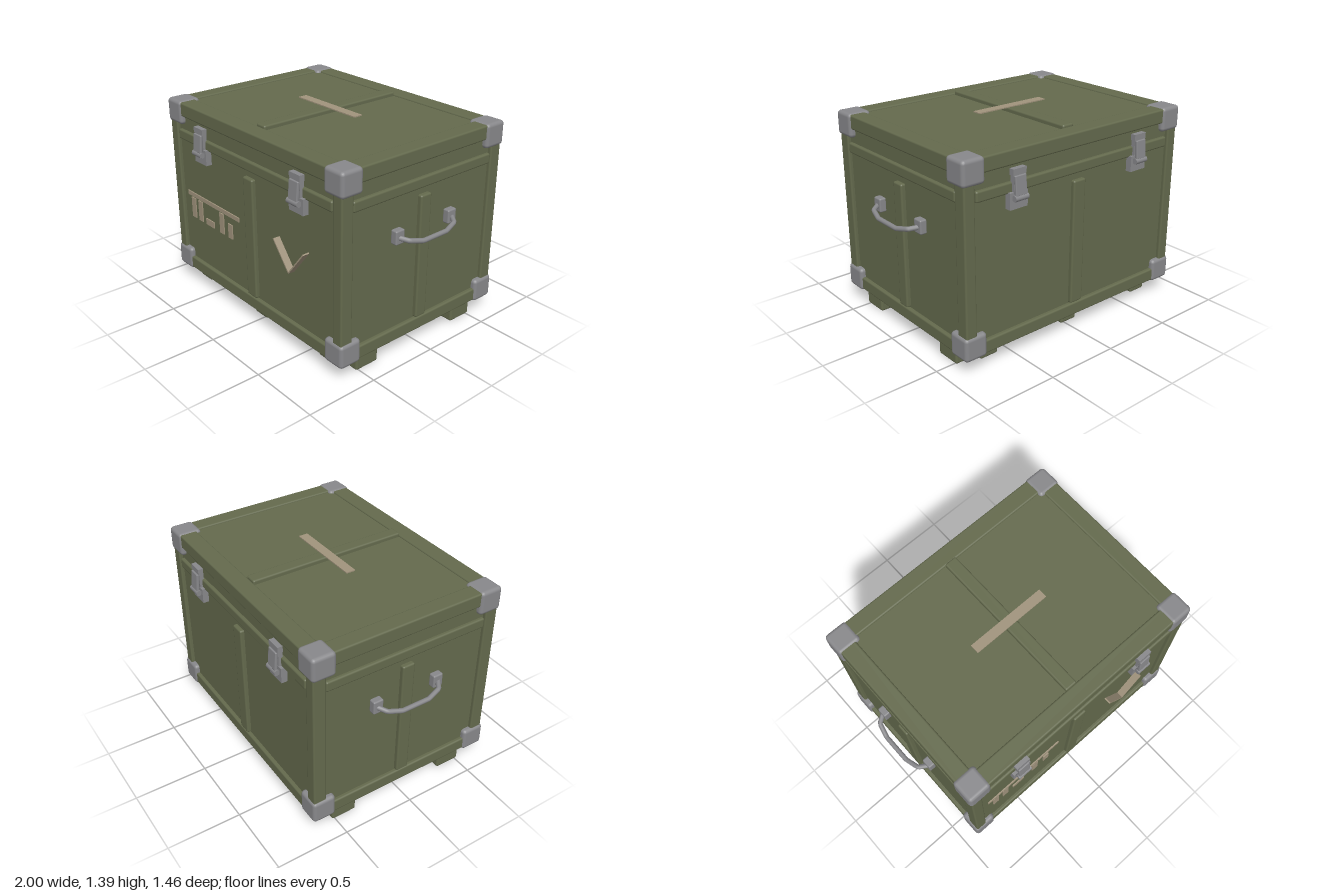
import * as THREE from 'three';
import { RoundedBoxGeometry } from 'three/addons/geometries/RoundedBoxGeometry.js';

const mat = (name, color) => {
  const m = new THREE.MeshStandardMaterial({ color });
  m.name = name;
  return m;
};

export function createModel() {
  const olive = mat('olive paint', 0x646a4d);
  const steel = mat('grey steel', 0x88888b);
  const tan = mat('tan marking', 0xa0937c);
  const model = new THREE.Group();
  model.name = 'storageCrate';

  const add = (parent, name, geo, m) => {
    const mesh = new THREE.Mesh(geo, m);
    mesh.name = name;
    parent.add(mesh);
    return mesh;
  };
  // box given by its extents; r > 0 bevels the edges
  const box = (parent, name, m, [x0, x1], [y0, y1], [z0, z1], r = 0) => {
    const s = [x1 - x0, y1 - y0, z1 - z0];
    const geo = r ? new RoundedBoxGeometry(...s, 2, r) : new THREE.BoxGeometry(...s);
    const mesh = add(parent, name, geo, m);
    mesh.position.set((x0 + x1) / 2, (y0 + y1) / 2, (z0 + z1) / 2);
    return mesh;
  };
  const span = (s, a, b) => (s > 0 ? [a, b] : [-b, -a]);

  // inner panels
  box(model, 'body', olive, [-0.87, 0.87], [0.115, 1.355], [-0.65, 0.65]);

  // frame: posts, rails and lid bands
  for (const s of [1, -1]) {
    for (const t of [1, -1])
      box(model, 'cornerPost', olive, span(s, 0.815, 0.895), [0.115, 1.365], span(t, 0.585, 0.675), 0.012);
    for (const [y0, y1] of [[0.11, 0.2], [1.27, 1.367]]) {
      box(model, 'longRail', olive, [-0.89, 0.89], [y0, y1], span(s, 0.555, 0.675), 0.012);
      box(model, 'sideRail', olive, span(s, 0.78, 0.895), [y0, y1], [-0.67, 0.67], 0.012);
    }
    box(model, 'longLidBand', olive, [-0.805, 0.805], [1.1, 1.17], span(s, 0.62, 0.672), 0.012);
    box(model, 'sideLidBand', olive, span(s, 0.84, 0.892), [1.1, 1.17], [-0.583, 0.583], 0.012);
    // centre ribs
    box(model, 'longRib', olive, [-0.05, 0.05], [0.205, 1.055], span(s, 0.62, 0.678), 0.012);
    box(model, 'sideRib', olive, span(s, 0.84, 0.9), [0.205, 1.055], [-0.045, 0.045], 0.012);
    // underside runners
    box(model, 'runner', olive, [-0.865, 0.865], [0, 0.105], span(s, 0.34, 0.52), 0.015);
  }
  box(model, 'lidRib', olive, [-0.043, 0.043], [1.33, 1.384], [-0.56, 0.56], 0.012);
  for (const x of [-0.675, 0, 0.675])
    box(model, 'crossSlat', olive, [x - 0.067, x + 0.067], [0.03, 0.12], [-0.61, 0.61], 0.015);

  // metal corner caps
  for (const x of [1, -1]) for (const z of [1, -1]) for (const y of [[0.1, 0.262], [1.21, 1.374]])
    box(model, 'cornerCap', steel, span(x, 0.745, 0.908), y, span(z, 0.522, 0.685), 0.025);

  // latches, front and back
  for (const turn of [0, Math.PI]) for (const x of [-0.51, 0.51]) {
    const latch = new THREE.Group();
    latch.name = 'latch';
    box(latch, 'catchPlate', steel, [-0.067, 0.067], [1.005, 1.11], [0.645, 0.692]);
    box(latch, 'upperPlate', steel, [-0.05, 0.05], [1.215, 1.255], [0.665, 0.7]);
    box(latch, 'backPlate', steel, [-0.038, 0.038], [1.08, 1.23], [0.66, 0.69]);
    const strap = box(latch, 'strap', steel, [-0.042, 0.042], [1.09, 1.215], [0.695, 0.715], 0.006);
    strap.rotation.x = -0.08;
    const roll = add(latch, 'hookRoll', new THREE.CylinderGeometry(0.02, 0.02, 0.1, 12), steel);
    roll.rotation.z = Math.PI / 2;
    roll.position.set(0, 1.078, 0.708);
    latch.rotation.y = turn;
    latch.position.x = x;
    model.add(latch);
  }

  // carrying handles, left and right
  for (const turn of [0, Math.PI]) {
    const handle = new THREE.Group();
    handle.name = 'handle';
    for (const z of [-0.227, 0.227])
      box(handle, 'handlePad', steel, [0.865, 0.915], [0.798, 0.892], [z - 0.036, z + 0.036], 0.01);
    const path = new THREE.CurvePath();
    const pts = [
      [0.9, 0.842, -0.235], [0.96, 0.83, -0.195], [0.984, 0.81, -0.1],
      [0.984, 0.81, 0.1], [0.96, 0.83, 0.195], [0.9, 0.842, 0.235],
    ].map((p) => new THREE.Vector3(...p));
    for (let i = 1; i < pts.length; i++) path.add(new THREE.LineCurve3(pts[i - 1], pts[i]));
    add(handle, 'grip', new THREE.TubeGeometry(path, 40, 0.016, 10), steel);
    handle.rotation.y = turn;
    model.add(handle);
  }

  // painted bars on the front and the lid
  const bars = [
    [-0.765, -0.145, 0.69, 0.72], [-0.725, -0.677, 0.53, 0.68], [-0.64, -0.592, 0.53, 0.68],
    [-0.55, -0.452, 0.53, 0.575], [-0.378, -0.33, 0.53, 0.68], [-0.277, -0.23, 0.53, 0.635],
  ];
  for (const [x0, x1, y0, y1] of bars) box(model, 'frontBar', tan, [x0, x1], [y0, y1], [0.649, 0.658]);
  box(model, 'lidBar', tan, [-0.28, 0.28], [1.383, 1.39], [-0.034, 0.03]);

  // two thin strips standing out from the front, meeting at the foot
  for (const s of [1, -1]) {
    const strip = add(model, 'angledStrip', new THREE.BoxGeometry(0.009, 0.235, 0.06), tan);
    strip.position.set(0.43 + s * 0.072, 0.66, 0.668);
    strip.rotation.z = -s * 0.675;
  }
  return model;
}
